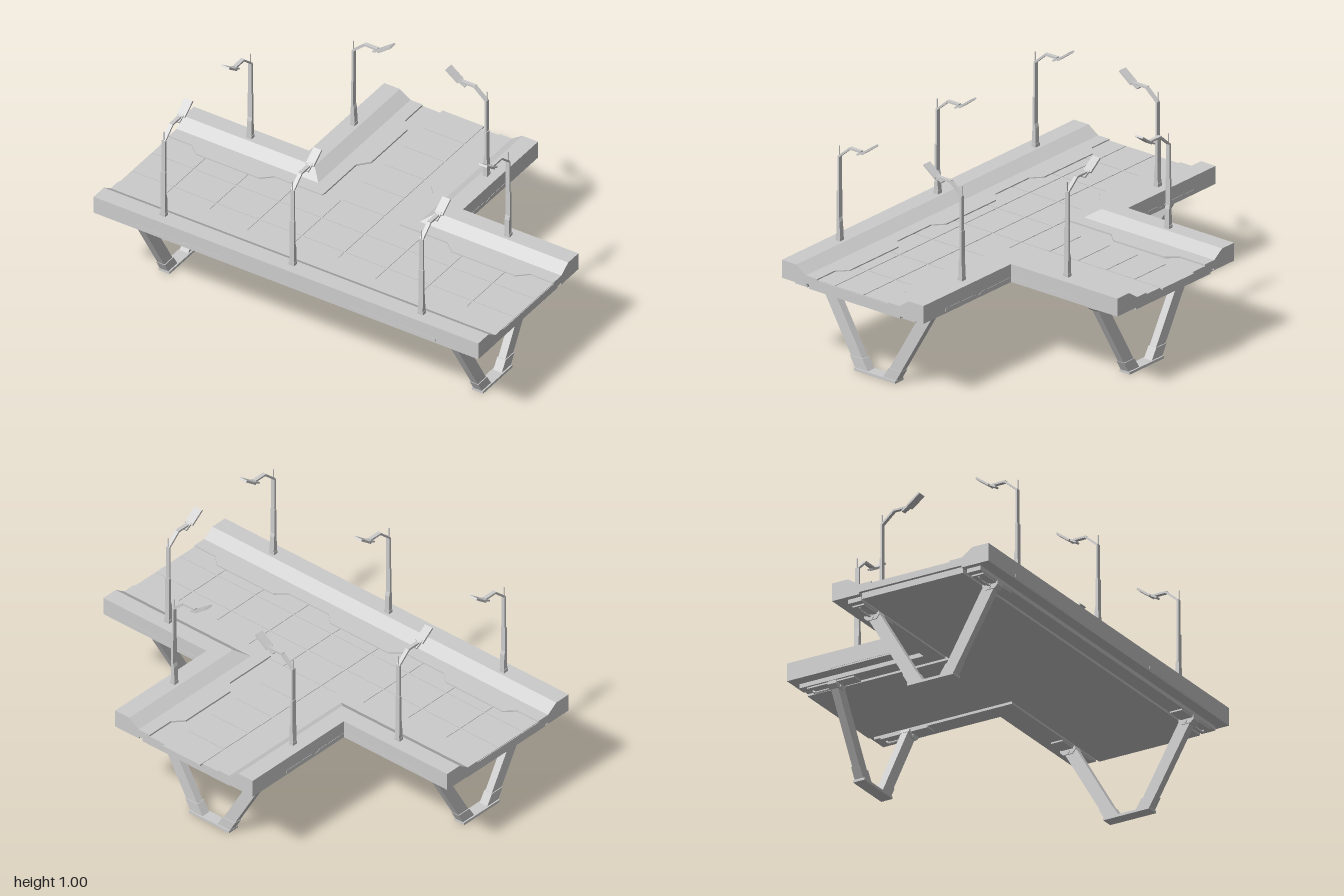
import * as THREE from 'three';

const grey = new THREE.MeshStandardMaterial({ color: 0xcccccc, flatShading: true });

function add(parent, name, geo, x = 0, y = 0, z = 0) {
  const m = new THREE.Mesh(geo, grey);
  m.name = name;
  m.position.set(x, y, z);
  parent.add(m);
  return m;
}

// Box given by its limits
function block(parent, name, x0, x1, y0, y1, z0, z1) {
  return add(parent, name, new THREE.BoxGeometry(x1 - x0, y1 - y0, z1 - z0),
    (x0 + x1) / 2, (y0 + y1) / 2, (z0 + z1) / 2);
}

const toShape = pts => new THREE.Shape(pts.map(p => new THREE.Vector2(p[0], p[1])));

// Flat plate from an x/z outline, between two heights
function plate(parent, name, pts, bottom, top) {
  const g = new THREE.ExtrudeGeometry(toShape(pts), { depth: top - bottom, bevelEnabled: false });
  return add(parent, name, g.rotateX(Math.PI / 2), 0, top, 0);
}

// Upright x/y outline, given a width centred on z
function slice(parent, name, pts, width) {
  const g = new THREE.ExtrudeGeometry(toShape(pts), { depth: width, bevelEnabled: false });
  return add(parent, name, g.translate(0, 0, -width / 2));
}

// Straight rectangular bar between two points in the x/y plane
function bar(parent, name, a, b, thick, width) {
  const dx = b[0] - a[0], dy = b[1] - a[1];
  const g = new THREE.BoxGeometry(Math.hypot(dx, dy), thick, width);
  add(parent, name, g, (a[0] + b[0]) / 2, (a[1] + b[1]) / 2, 0).rotation.z = Math.atan2(dy, dx);
}

// Parapet section (distance from outer edge, height), joined across mitred stations
const section = [[0, 0.415], [0, 0.5], [0.082, 0.5], [0.138, 0.462], [0.138, 0.415]];
function parapet(parent, name, stations, flip) {
  const n = section.length, pos = [], tris = [];
  for (const place of stations) for (const [d, y] of section) { const [x, z] = place(d); pos.push(x, y, z); }
  for (let s = 0; s < stations.length - 1; s++) for (let i = 0; i < n; i++) {
    const a = s * n + i, b = s * n + (i + 1) % n;
    tris.push([a, a + n, b], [b, a + n, b + n]);
  }
  const e = (stations.length - 1) * n;
  for (let i = 1; i < n - 1; i++) tris.push([0, i, i + 1], [e, e + i + 1, e + i]);
  if (flip) tris.forEach(t => t.reverse());
  let g = new THREE.BufferGeometry();
  g.setAttribute('position', new THREE.Float32BufferAttribute(pos, 3));
  g.setIndex(tris.flat());
  g = g.toNonIndexed();
  g.computeVertexNormals();
  add(parent, name, g);
}

// V-shaped support; local +z is its outer side
function supportLeg(x, z, angle) {
  const g = new THREE.Group();
  g.name = 'supportLeg';
  block(g, 'footPlate', -0.117, 0.117, 0, 0.012, -0.029, 0.029);
  for (const s of [-1, 1]) {
    const m = pts => pts.map(([u, y]) => [u * s, y]);
    slice(g, 'strut', m([[0.338, 0.4], [0.272, 0.4], [0.047, 0.01], [0.112, 0.01]]), 0.036);
    slice(g, 'strutFoot', m([[0.145, 0.062], [0.074, 0.062], [0.042, 0.01], [0.115, 0.01]]), 0.044);
    slice(g, 'strutHead', m([[0.341, 0.4], [0.268, 0.4], [0.262, 0.385], [0.28, 0.365], [0.325, 0.365], [0.341, 0.38]]), 0.046);
    add(g, 'bolt', new THREE.CylinderGeometry(0.009, 0.009, 0.054, 8).rotateX(Math.PI / 2), 0.3 * s, 0.378, 0);
    // Mounting pad and pipe loop beside the strut head
    block(g, 'mountPad', s * 0.305 - 0.03, s * 0.305 + 0.03, 0.388, 0.4, -0.11, 0.13);
    const loop = new THREE.CatmullRomCurve3([[0.392, 0.025], [0.378, 0.035], [0.376, 0.06], [0.376, 0.1], [0.38, 0.112], [0.392, 0.118]]
      .map(([y, w]) => new THREE.Vector3(0.305 * s, y, w)));
    add(g, 'pipeLoop', new THREE.TubeGeometry(loop, 12, 0.005, 6));
  }
  g.position.set(x, 0, z);
  g.rotation.y = angle;
  return g;
}

// Street lamp; its arm reaches along local +x
function lamp(x, z, angle) {
  const g = new THREE.Group();
  g.name = 'streetLamp';
  block(g, 'lampBase', -0.012, 0.012, 0.495, 0.515, -0.014, 0.014);
  slice(g, 'lampSleeve', [[-0.011, 0.5], [0.011, 0.5], [0.009, 0.59], [0.004, 0.61], [0.004, 0.735], [-0.008, 0.735], [-0.008, 0.61]], 0.024);
  block(g, 'lampPole', -0.005, 0.004, 0.72, 0.9, -0.01, 0.01);
  block(g, 'lampAntenna', -0.004, 0, 0.9, 0.947, -0.002, 0.002);
  bar(g, 'lampArm', [-0.001, 0.898], [0.06, 0.951], 0.009, 0.018);
  bar(g, 'lampArm', [0.057, 0.952], [0.125, 0.952], 0.009, 0.018);
  bar(g, 'lampNeck', [0.105, 0.936], [0.142, 0.957], 0.008, 0.026);
  bar(g, 'lampHead', [0.136, 0.95], [0.2, 0.998], 0.009, 0.042);
  g.position.set(x, 0, z);
  g.rotation.y = angle;
  return g;
}

// T-shaped outline
const tee = (w, front, back, arm, end) => [[-w, front], [w, front], [w, back], [arm, back], [arm, end],
  [-arm, end], [-arm, back], [-w, back]];

export function createModel() {
  const model = new THREE.Group();
  model.name = 'elevatedRoadJunction';

  // Road deck and the narrower tray beneath it
  plate(model, 'roadDeck', tee(1, 0.57, 0.02, 0.27, -0.7), 0.425, 0.455);
  plate(model, 'underTray', tee(0.985, 0.56, 0.045, 0.255, -0.685), 0.396, 0.43);

  // Parapets: straight along the front, mitred around each inner corner
  parapet(model, 'frontParapet', [d => [-1, 0.7 - d], d => [1, 0.7 - d]], false);
  for (const s of [-1, 1]) {
    parapet(model, 'cornerParapet', [d => [s, -0.1 + d], d => [s * (0.4 - d), -0.1 + d],
      d => [s * (0.4 - d), -0.7]], s < 0);
  }

  // Raised kerb borders with stepped inner edges
  const frontKerb = [[0, 0.57], [1, 0.57], [1, 0.5], [0.88, 0.5], [0.83, 0.455], [0.5, 0.455], [0.45, 0.5],
    [0.22, 0.5], [0.17, 0.455], [0, 0.455]];
  const cornerKerb = [[1, 0.02], [0.27, 0.02], [0.27, -0.7], [0.2, -0.7], [0.2, -0.56], [0.155, -0.51],
    [0.155, -0.22], [0.2, -0.17], [0.2, 0.1], [0.45, 0.1], [0.5, 0.145], [0.83, 0.145], [0.88, 0.1], [1, 0.1]];
  for (const s of [-1, 1]) {
    for (const k of [frontKerb, cornerKerb]) plate(model, 'kerb', k.map(([x, z]) => [x * s, z]), 0.45, 0.463);
  }

  // Thin paving slabs with narrow joints
  for (let i = 0; i < 9; i++) for (let j = 0; j < 8; j++) {
    const x = (i - 4) * 0.2222, z = 0.48 - j * 0.16;
    if (z < 0.08 && Math.abs(x) > 0.1) continue;
    block(model, 'pavingSlab', x - 0.108, x + 0.108, 0.45, 0.4575, z - 0.077, z + 0.077);
  }

  // Trim rails under the parapets
  block(model, 'frontRail', -0.975, 0.975, 0.395, 0.418, 0.575, 0.645);
  for (const s of [-1, 1]) {
    block(model, 'wingRail', s * 0.625 - 0.35, s * 0.625 + 0.35, 0.395, 0.418, -0.035, 0.035);
    block(model, 'branchRail', s * 0.31 - 0.035, s * 0.31 + 0.035, 0.395, 0.418, -0.67, 0.03);
  }

  // Notched service strips on the outer parapet faces
  const strip = [[-0.222, 0.422], [0.222, 0.422], [0.222, 0.438], [0.03, 0.438], [0.012, 0.43], [-0.012, 0.43],
    [-0.03, 0.438], [-0.222, 0.438]];
  for (const s of [-1, 1]) {
    slice(model, 'serviceStrip', strip, 0.004).position.set(s * 0.557, 0, 0.6995);
    slice(model, 'serviceStrip', strip, 0.004).position.set(s * 0.63, 0, -0.0995);
    const side = slice(model, 'serviceStrip', strip.map(([u, y]) => [u * 0.85, y]), 0.004);
    side.position.set(s * 0.3995, 0, -0.288);
    side.rotation.y = Math.PI / 2;
  }

  // Supports
  model.add(supportLeg(0, -0.507, Math.PI));
  for (const s of [-1, 1]) model.add(supportLeg(s * 0.815, 0.305, s * Math.PI / 2));

  // Lamps, all leaning in over the road
  for (const x of [-0.67, 0, 0.67]) model.add(lamp(x, 0.645, Math.PI / 2));
  for (const s of [-1, 1]) {
    model.add(lamp(s * 0.67, -0.045, -Math.PI / 2));
    model.add(lamp(s * 0.345, -0.373, s > 0 ? Math.PI : 0));
  }
  return model;
}
